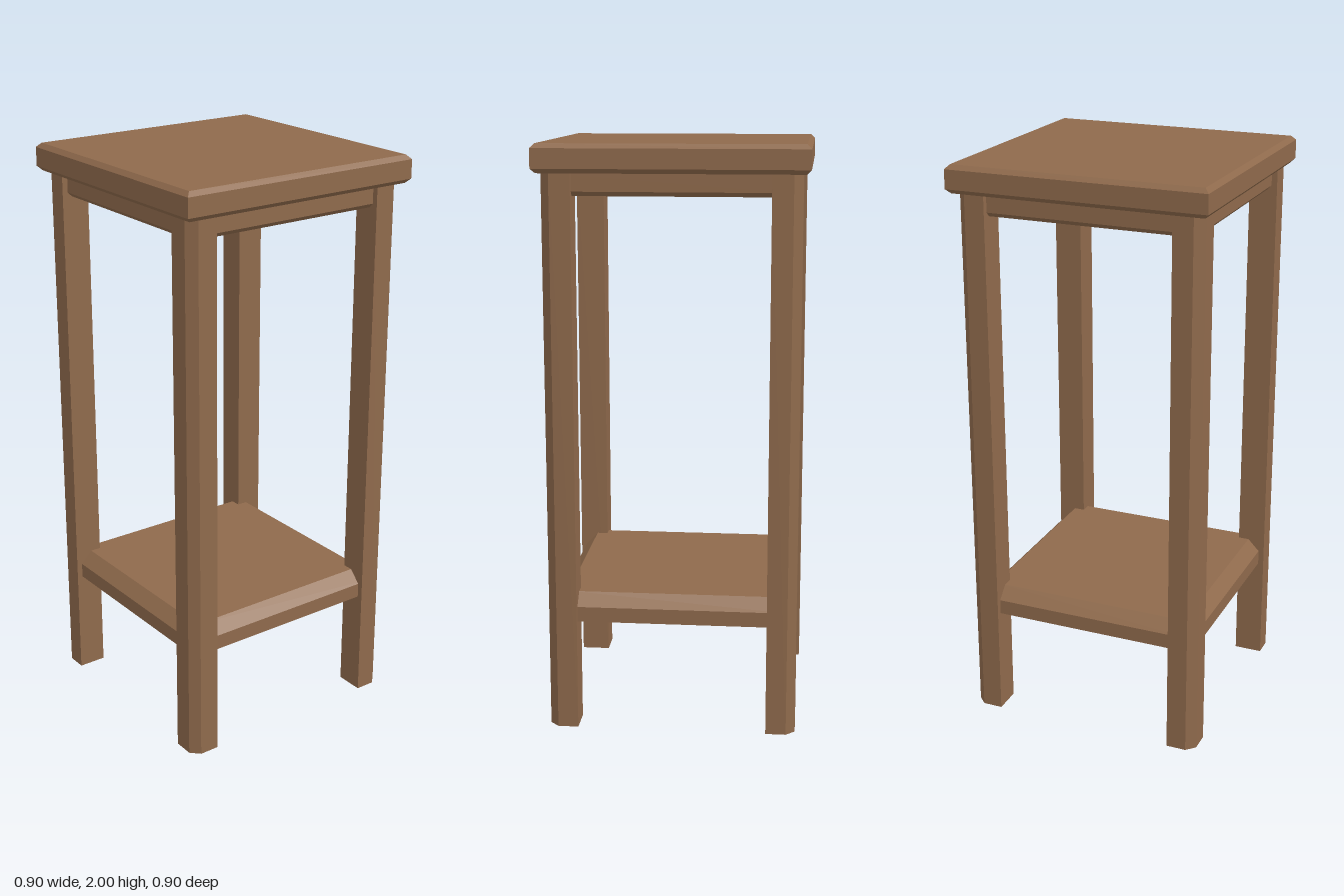
import * as THREE from 'three';

// Square slab from [half width, height] rings, bottom to top, with flat faces
function squareSlab(rings) {
  const points = rings.map(([half, y]) => new THREE.Vector2(half * Math.SQRT2, y));
  const geometry = new THREE.LatheGeometry(points, 4, Math.PI / 4).toNonIndexed();
  geometry.computeVertexNormals();
  return geometry;
}

export function createModel() {
  const group = new THREE.Group();
  const wood = new THREE.MeshStandardMaterial({ color: 0x8f6a4c });
  wood.name = 'brown wood';

  function add(name, geometry) {
    const mesh = new THREE.Mesh(geometry, wood);
    mesh.name = name;
    group.add(mesh);
    return mesh;
  }

  // Table top, chamfered along its upper and lower edges
  add('tableTop', squareSlab([
    [0, 1.905], [0.435, 1.905], [0.45, 1.92], [0.45, 1.985], [0.435, 2], [0, 2],
  ]));

  // Apron under the top, chamfered along its lower edge
  add('apron', squareSlab([
    [0, 1.83], [0.39, 1.83], [0.405, 1.845], [0.405, 1.905], [0, 1.905],
  ]));

  // Lower shelf with a wide bevel on its upper edge
  add('lowerShelf', squareSlab([
    [0, 0.38], [0.405, 0.38], [0.405, 0.432], [0.363, 0.475], [0, 0.475],
  ]));

  // Legs: square posts with the outer corner cut off
  const inner = 0.325, outer = 0.425, cut = 0.03;
  const section = new THREE.Shape([
    [inner, inner], [outer, inner], [outer, outer - cut], [outer - cut, outer], [inner, outer],
  ].map(([x, y]) => new THREE.Vector2(x, y)));
  const legGeometry = new THREE.ExtrudeGeometry(section, { depth: 1.905, bevelEnabled: false });
  legGeometry.rotateX(-Math.PI / 2);
  ['backLeftLeg', 'backRightLeg', 'frontRightLeg', 'frontLeftLeg'].forEach((name, i) => {
    add(name, legGeometry).rotation.y = i * Math.PI / 2;
  });

  return group;
}
